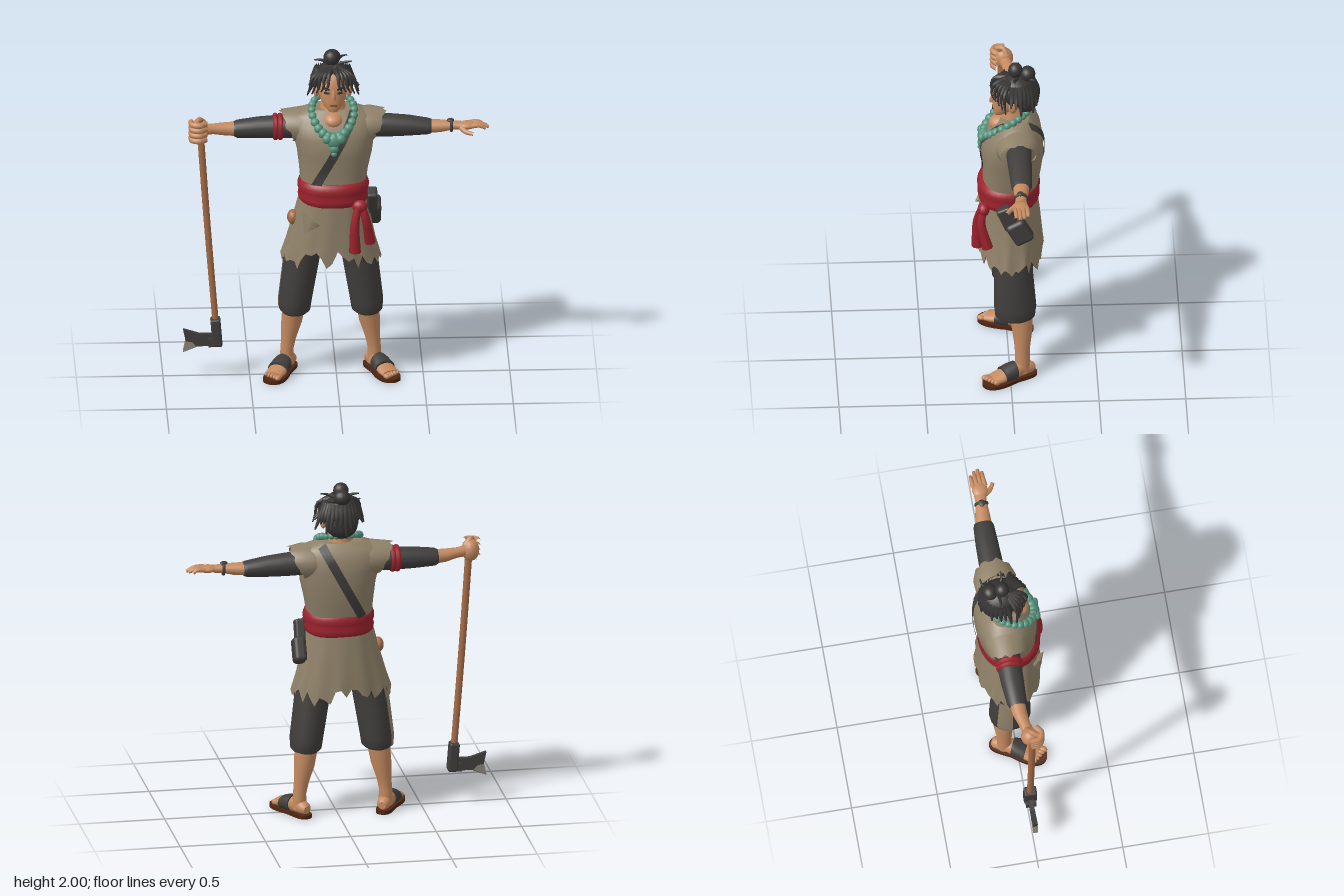
import * as THREE from 'three';
import { RoundedBoxGeometry } from 'three/addons/geometries/RoundedBoxGeometry.js';

const mat = (name, color, side = THREE.FrontSide) => {
  const m = new THREE.MeshStandardMaterial({ color, side });
  m.name = name;
  return m;
};
const V = (x, y, z) => new THREE.Vector3(x, y, z);
const MID = -0.03; // mirror plane of the legs

// Skin over elliptical rings [cx, cy, cz, ra, rb] stacked along an axis
function loft(rings, { axis = 'y', n = 24, p = 2, caps = true, t0 = 0, t1 = 1, warp } = {}) {
  const k = 'xyz'.indexOf(axis) + 1 ? { x: 0, y: 1, z: 2 }[axis] : 1;
  if (rings[0][k] > rings[rings.length - 1][k]) rings = [...rings].reverse();
  const full = t1 - t0 >= 1, cols = full ? n : n + 1, pos = [], idx = [];
  const pow = v => Math.sign(v) * Math.abs(v) ** (2 / p);
  rings.forEach(([x, y, z, a, b], i) => {
    for (let j = 0; j < cols; j++) {
      const t = (t0 + (t1 - t0) * j / n) * Math.PI * 2, c = pow(Math.cos(t)), s = pow(Math.sin(t));
      const v = axis === 'y' ? V(x + a * c, y, z + b * s)
        : axis === 'x' ? V(x, y + a * c, z - b * s) : V(x + a * c, y - b * s, z);
      if (warp) warp(v, i, j);
      pos.push(v.x, v.y, v.z);
    }
  });
  for (let i = 0; i < rings.length - 1; i++) for (let j = 0; j < n; j++) {
    const q = i * cols + j, r = i * cols + (j + 1) % cols;
    idx.push(q, q + cols, r, r, q + cols, r + cols);
  }
  if (caps && full) [0, rings.length - 1].forEach(i => {
    const base = pos.length / 3;
    for (let j = 0; j < n; j++) pos.push(...pos.slice((i * cols + j) * 3, (i * cols + j) * 3 + 3));
    pos.push(...rings[i].slice(0, 3));
    for (let j = 0; j < n; j++) {
      const a = base + j, b = base + (j + 1) % n;
      i ? idx.push(base + n, b, a) : idx.push(base + n, a, b);
    }
  });
  const g = new THREE.BufferGeometry();
  g.setAttribute('position', new THREE.Float32BufferAttribute(pos, 3));
  g.setIndex(idx);
  g.computeVertexNormals();
  return g;
}

// Tube along points whose radius runs from r0 to r1
function taper(points, r0, r1, seg = 10, sides = 8) {
  const curve = new THREE.CatmullRomCurve3(points.map(p => V(...p)));
  const g = new THREE.TubeGeometry(curve, seg, 1, sides), a = g.attributes.position, v = V(0, 0, 0);
  for (let i = 0; i < a.count; i++) {
    const t = Math.floor(i / (sides + 1)) / seg, c = curve.getPointAt(t);
    v.fromBufferAttribute(a, i).sub(c).multiplyScalar(r0 + (r1 - r0) * t).add(c);
    a.setXYZ(i, v.x, v.y, v.z);
  }
  return g;
}

export function createModel() {
  const model = new THREE.Group();
  const skin = mat('skin', 0xc48a60), cloth = mat('dark cloth', 0x403e3c), hair = mat('hair', 0x363432);
  const tan = mat('tan linen', 0x8f8169, THREE.DoubleSide), red = mat('red sash', 0x9c222d);
  const teal = mat('teal beads', 0x57937d), wood = mat('wood', 0xa56c47);
  const brown = mat('dark brown', 0x4e2614, THREE.DoubleSide), steel = mat('steel', 0x8c8578);
  const strapMat = mat('strap leather', 0x3f3d3b, THREE.DoubleSide);
  const add = (name, geo, m, parent = model) => {
    const mesh = new THREE.Mesh(geo, m);
    mesh.name = name;
    parent.add(mesh);
    return mesh;
  };
  const ball = (name, m, x, y, z, rx, ry = rx, rz = rx, parent = model) => {
    const b = add(name, new THREE.SphereGeometry(1, 16, 12).scale(rx, ry, rz), m, parent);
    b.position.set(x, y, z);
    return b;
  };
  let seed = 7;
  const rnd = () => (seed = (seed * 16807) % 2147483647) / 2147483647;

  // Tunic body
  const P = 2.4;
  const torso = [[-.02, 1.18, -.005, .185, .16], [-.015, 1.3, -.02, .2, .165], [-.01, 1.4, -.02, .217, .178],
    [-.015, 1.5, -.022, .235, .175], [-.02, 1.57, -.035, .25, .15], [-.02, 1.62, -.04, .23, .115],
    [-.02, 1.655, -.04, .13, .08]];
  add('tunicBody', loft(torso, { n: 36, p: P }), tan);
  // Ragged shoulder caps, longer on top than below
  for (const [s, end] of [[-1, -.3], [1, .265]]) {
    add('tunicShoulder', loft([[s * .13, 1.54, -.045, .1, .12], [s * .2, 1.54, -.045, .102, .125], [end, 1.535, -.045, .092, .105]],
      { axis: 'x', n: 28, caps: false, warp: v => {
        if (Math.abs(v.x - end) < .001) v.x -= s * ((1.62 - v.y) * .45 - .015 + .025 * (rnd() - .5));
      } }), tan);
  }

  // Torn skirt with a dark lining
  const hem = Array.from({ length: 56 }, (_, j) => {
    const tear = [12, 13, 17, 18, 19].includes(j) ? .07 : 0; // notches at the front
    return (rnd() - .5) * .07 + (j % 3 ? .012 : -.03) + tear;
  });
  const skirt = k => loft([[-.03, .745, -.008, .285 * k, .19 * k], [-.03, .85, -.008, .255 * k, .185 * k],
    [-.025, 1, -.005, .22 * k, .175 * k], [-.02, 1.13, 0, .195 * k, .165 * k]], { n: 56, caps: false, warp: (v, i, j) => {
    const f = 1 + [.03, .02, .012, 0][i] * Math.sin(j * 1.35);
    v.x *= f; v.z *= f;
    if (!i) v.y += hem[j];
  } });
  add('skirt', skirt(1), tan);
  add('skirtLining', skirt(.965), brown);
  const flap = add('tornFlap', new THREE.ConeGeometry(.07, .1, 5).scale(1, 1, .25), tan);
  flap.position.set(-.17, .98, .15);
  flap.rotation.set(-.3, -.5, 2.6);

  // Sash with folds, knot and two tails
  add('sash', loft([[1.095, .19], [1.11, .2], [1.135, .205], [1.155, .198], [1.175, .205], [1.2, .206], [1.225, .197], [1.237, .18]]
    .map(([y, r]) => [-.018, y, 0, r, r - .025]), { n: 36, p: 2.2 }), red);
  ball('sashKnot', red, .13, 1.1, .15, .045, .04, .035);
  add('sashTail', taper([[.12, 1.11, .16], [.1, 1, .185], [.1, .83, .185]], .02, .034), red);
  add('sashTail', taper([[.14, 1.11, .15], [.165, 1.02, .165], [.19, .87, .13]], .02, .032), red);

  // Shoulder strap hugging the tunic, front and back
  const surface = (x, y) => {
    let i = 0;
    while (i < torso.length - 2 && torso[i + 1][1] < y) i++;
    const f = Math.min(1, (y - torso[i][1]) / (torso[i + 1][1] - torso[i][1]));
    const [cx, , cz, a, b] = torso[i].map((v, k) => v + (torso[i + 1][k] - v) * f);
    return [cz, b * Math.max(0, 1 - Math.abs((x - cx) / a) ** P) ** (1 / P) + .009];
  };
  for (const s of [1, -1]) {
    const pos = [], idx = [];
    for (let i = 0; i <= 20; i++) for (const w of [-.026, .026]) {
      const t = i / 20, x = .1 - .23 * t + w * .87, y = 1.645 - .43 * t - w * .48, [c, d] = surface(x, y);
      pos.push(x, y, c + s * d);
      if (i < 20 && w < 0) idx.push(2 * i, 2 * i + 1, 2 * i + 2, 2 * i + 1, 2 * i + 3, 2 * i + 2);
    }
    const g = new THREE.BufferGeometry();
    g.setAttribute('position', new THREE.Float32BufferAttribute(pos, 3));
    g.setIndex(s > 0 ? idx.reverse() : idx);
    g.computeVertexNormals();
    add('shoulderStrap', g, strapMat);
  }

  // Neck, head and face
  add('neck', loft([[-.02, 1.6, -.02, .1, .1], [-.02, 1.65, -.03, .075, .08], [-.02, 1.75, -.03, .06, .065]]), skin);
  ball('chest', skin, -.02, 1.6, .04, .065, .05, .075);
  add('head', loft([[-.02, 1.664, .06, .025, .025], [-.02, 1.69, .038, .053, .055], [-.02, 1.73, .01, .075, .082],
    [-.02, 1.78, -.01, .087, .1], [-.02, 1.84, -.02, .088, .105], [-.02, 1.88, -.03, .075, .085], [-.02, 1.905, -.04, .04, .045]]), skin);
  add('nose', taper([[-.02, 1.8, .08], [-.02, 1.765, .095], [-.02, 1.745, .096]], .009, .016), skin);
  add('mouth', new THREE.BoxGeometry(.04, .006, .008), brown).position.set(-.02, 1.707, .091);
  for (const s of [-1, 1]) {
    ball('ear', skin, -.02 + s * .095, 1.755, -.02, .017, .035, .025);
    const eye = add('eye', new THREE.BoxGeometry(.03, .011, .008), hair);
    eye.position.set(-.02 + s * .038, 1.782, .081);
    const brow = add('eyebrow', new THREE.BoxGeometry(.04, .01, .009), hair);
    brow.position.set(-.02 + s * .04, 1.808, .078);
    eye.rotation.y = brow.rotation.y = s * .4;
    brow.rotation.z = s * .25;
  }

  // Hair cap, top knots and locks
  ball('hairCap', hair, -.02, 1.822, -.047, .11, .1, .122);
  ball('hairNape', hair, -.02, 1.77, -.1, .095, .09, .07);
  ball('topKnot', hair, -.025, 1.952, -.04, .045, .046, .042);
  ball('backKnot', hair, -.02, 1.93, -.11, .05, .045, .045);
  for (let i = 0; i < 18; i++) {
    const a = Math.PI * (.9 + 1.2 * i / 17), c = Math.cos(a), s = Math.sin(a), r = 1 + rnd() * .25;
    add('hairLock', taper([[-.02 + c * .08, 1.89, -.05 + s * .08], [-.02 + c * .115, 1.82, -.05 + s * .115],
      [-.02 + c * .125 * r, 1.7 + .06 * rnd() + .03 * Math.abs(c), -.05 + s * .11 * r]], .026, .005), hair);
  }
  for (const s of [-1, 1]) for (let i = 0; i < 5; i++) {
    const x = s * (.028 + i * .022);
    add('fringeLock', taper([[-.02 + s * .012, 1.9, .02 - i * .01], [-.02 + x, 1.885 - i * .006, .078 - i * .013],
      [-.02 + x * 1.15, 1.83 - i * .01, .1 - i * .018], [-.02 + x * 1.15 + s * .015, 1.8 - i * .013, .094 - i * .018]], .02, .004), hair);
  }
  for (const [x, y, z] of [[.08, 1.95, -.03], [-.11, 1.95, -.06], [.06, 1.94, -.15], [-.13, 1.89, .02]])
    add('hairWisp', taper([[-.02, 1.9, -.06], [x * .7, y - .02, z], [x * 1.15, y - .015, z]], .016, .004), hair);

  // Bead necklace with pendant
  for (let i = 0; i < 24; i++) {
    const a = i / 24 * Math.PI * 2, c = Math.cos(a), s = Math.sin(a);
    ball('necklaceBead', teal, -.02 + .122 * c, 1.615 - .085 * s + .035 * c * c, .012 + .13 * s, .024 + .005 * s);
  }
  for (const [x, y, r] of [[0, 1.51, .04], [-.04, 1.525, .028], [.04, 1.525, .028], [0, 1.465, .028], [0, 1.435, .018]])
    ball('necklacePendant', teal, -.02 + x, y, .157, r, r, .022);

  // Arms: dark sleeves, bare forearms
  add('leftSleeve', loft([[.17, 1.53, -.05, .07, .075], [.3, 1.525, -.05, .068, .07], [.42, 1.52, -.052, .06, .066],
    [.53, 1.513, -.052, .046, .06], [.55, 1.513, -.052, .04, .052]], { axis: 'x' }), cloth);
  add('leftForearm', loft([[.53, 1.513, -.05, .038, .048], [.6, 1.515, -.047, .036, .043], [.68, 1.52, -.042, .024, .032],
    [.72, 1.52, -.04, .024, .036]], { axis: 'x' }), skin);
  add('rightSleeve', loft([[-.59, 1.517, -.045, .042, .05], [-.57, 1.517, -.045, .052, .058], [-.45, 1.522, -.05, .062, .066],
    [-.32, 1.525, -.05, .068, .072], [-.17, 1.53, -.05, .07, .075]], { axis: 'x' }), cloth);
  add('rightForearm', loft([[-.76, 1.53, -.01, .033, .036], [-.71, 1.527, -.025, .03, .034], [-.64, 1.52, -.04, .038, .042],
    [-.57, 1.517, -.045, .042, .046]], { axis: 'x' }), skin);
  for (const x of [-.35, -.322]) {
    const band = add('redArmband', new THREE.TorusGeometry(.064, .016, 8, 28).rotateY(Math.PI / 2), red);
    band.position.set(x, 1.525, -.05);
  }
  add('bracelet', new THREE.TorusGeometry(.033, .009, 8, 20).rotateY(Math.PI / 2), cloth).position.set(.665, 1.52, -.043);
  ball('braceletKnot', cloth, .66, 1.552, -.04, .022, .01, .02);

  // Open left hand
  ball('leftPalm', skin, .755, 1.522, -.037, .055, .022, .046);
  for (let i = 0; i < 4; i++) {
    const z = -.072 + i * .023, l = [.845, .87, .88, .862][i];
    add('leftFinger', taper([[.77, 1.525, z], [.825, 1.527, z - .004], [l, 1.512, z - .004]], .015, .01), skin);
  }
  add('leftThumb', taper([[.72, 1.515, -.02], [.75, 1.5, .02], [.79, 1.497, .045]], .018, .011), skin);

  // Right fist around the axe
  ball('rightFist', skin, -.79, 1.532, -.005, .052, .066, .055);
  for (let i = 0; i < 4; i++) {
    const y = 1.58 - i * .032;
    add('rightFinger', taper([[-.755, y, .03], [-.79, y, .058], [-.832, y, .042], [-.838, y, -.01]], .019, .016), skin);
  }
  add('rightThumb', taper([[-.76, 1.56, -.02], [-.79, 1.595, .0], [-.81, 1.585, .04]], .022, .014), skin);

  // Axe
  add('axeHandle', taper([[-.79, 1.6, .01], [-.745, .95, .01], [-.69, .25, .01]], .021, .019, 12, 10), wood);
  const socket = add('axeSocket', new RoundedBoxGeometry(.058, .17, .075, 2, .012), cloth);
  socket.position.set(-.692, .275, .01);
  socket.rotation.z = .08;
  add('axeBase', new THREE.BoxGeometry(.075, .05, .06), cloth).position.set(-.7, .215, .01);
  const plate = (pts, depth) => new THREE.ExtrudeGeometry(new THREE.Shape(pts.map(p => new THREE.Vector2(...p))),
    { depth, bevelEnabled: false }).translate(0, 0, .01 - depth / 2);
  add('axeBlade', plate([[-.7, .19], [-.7, .265], [-.79, .265], [-.885, .295], [-.87, .225], [-.885, .155], [-.8, .19]], .026), cloth);
  add('axeEdge', plate([[-.885, .157], [-.81, .19], [-.83, .215], [-.872, .222]], .03), steel);

  // Pouch and small gourd at the hips
  const pouch = add('pouch', new RoundedBoxGeometry(.075, .15, .12, 3, .025), cloth);
  pouch.position.set(.222, 1.0, -.055);
  pouch.rotation.x = .5;
  const flask = add('pouchTop', new RoundedBoxGeometry(.06, .15, .085, 3, .015), cloth);
  flask.position.set(.205, 1.085, .015);
  flask.rotation.x = .4;
  ball('gourd', wood, -.25, .985, .01, .035, .045, .045);

  // Legs and sandals
  for (const s of [1, -1]) {
    const X = x => MID + s * (x - MID);
    const side = s > 0 ? 'left' : 'right';
    const leg = [[.18, .385, -.03, .075, .1], [.178, .4, -.03, .09, .115], [.175, .46, -.03, .096, .122], [.155, .6, -.025, .1, .115],
      [.135, .74, -.018, .104, .11], [.09, .95, -.01, .105, .11]].map(([x, ...r]) => [X(x), ...r]);
    add(side + 'Trouser', loft(leg), cloth);
    if (s < 0) add('trouserPatch', loft(leg.slice(1, 5).map(([x, y, z, a, b]) => [x, y, z, a + .005, b + .005]),
      { n: 6, t0: .5, t1: .62 }), tan);
    add(side + 'Shin', loft([[.222, .04, -.07, .042, .045], [.222, .13, -.07, .038, .042], [.212, .2, -.07, .043, .045],
      [.195, .3, -.07, .06, .058], [.18, .42, -.06, .068, .07]].map(([x, ...r]) => [X(x), ...r])), skin);
    const foot = new THREE.Group();
    foot.name = side + 'Foot';
    foot.position.set(X(.222), 0, -.07);
    foot.rotation.y = s * .45;
    model.add(foot);
    const arch = [[0, .05, -.075, .022, .022], [0, .055, -.055, .037, .035], [0, .062, .02, .042, .052], [0, .055, .08, .05, .042],
      [0, .042, .15, .057, .028], [0, .037, .2, .053, .02]];
    add('footBody', loft(arch, { axis: 'z' }), skin, foot);
    for (let i = 0; i < 5; i++) ball('toe', skin, s * (-.04 + i * .021), .037, .222 - i * .009, i ? .012 : .017, .015, .024, foot);
    add('sandalStrap', loft([[0, .06, .05, .052, .055], [0, .057, .08, .058, .052], [0, .05, .13, .062, .042]], { axis: 'z' }), cloth, foot);
    const sole = new THREE.Shape();
    sole.moveTo(0, .09);
    sole.bezierCurveTo(.06, .09, .045, 0, .05, -.06);
    sole.bezierCurveTo(.075, -.16, .075, -.25, 0, -.255);
    sole.bezierCurveTo(-.075, -.25, -.075, -.16, -.05, -.06);
    sole.bezierCurveTo(-.045, 0, -.06, .09, 0, .09);
    add('sandalSole', new THREE.ExtrudeGeometry(sole, { depth: .022, bevelEnabled: false }).rotateX(-Math.PI / 2), brown, foot);
  }
  return model;
}
